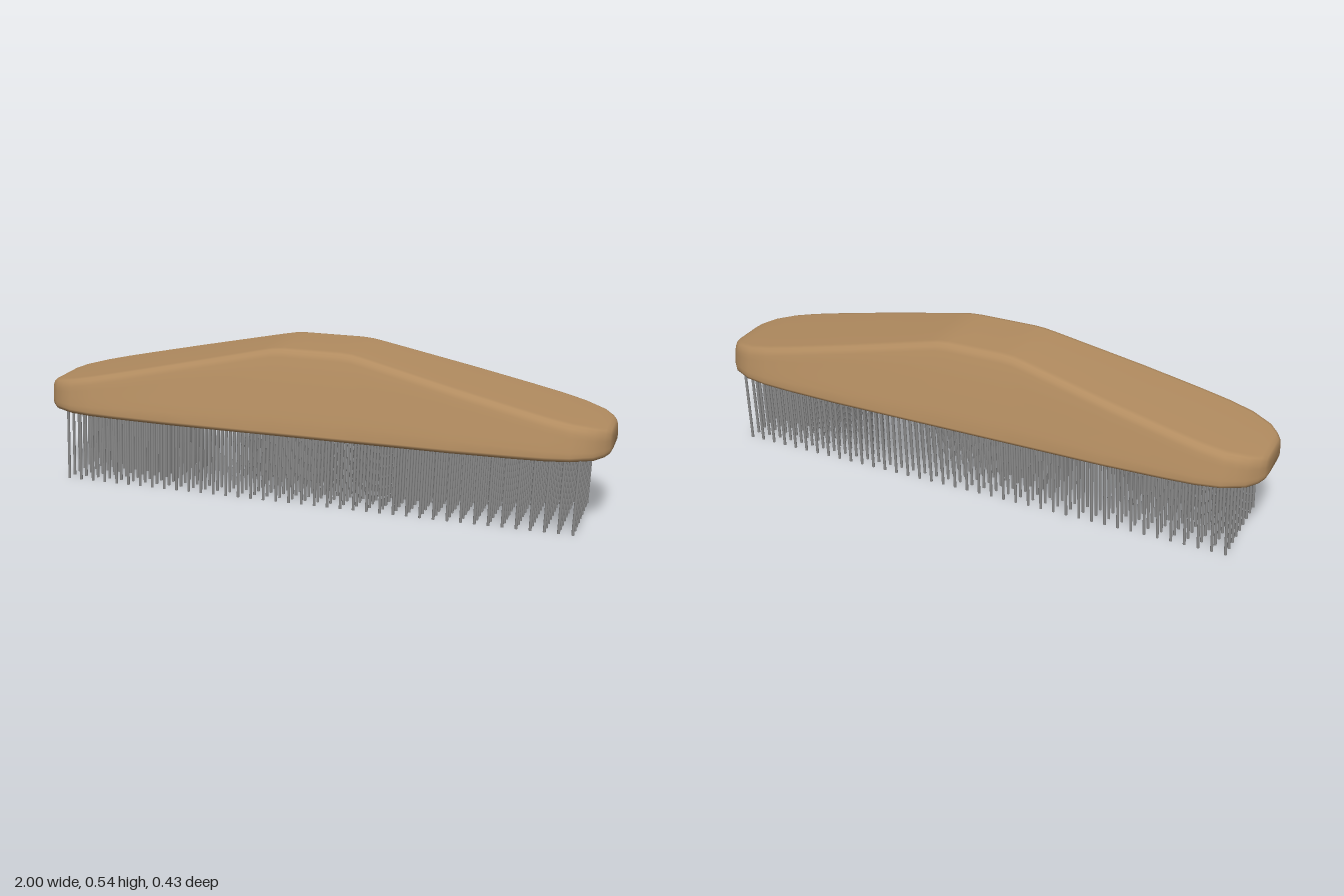
import * as THREE from 'three';
import { mergeGeometries } from 'three/addons/utils/BufferGeometryUtils.js';

const BASE = 0.25, PEAK = 0.537;

// piecewise-linear lookup through [key, value] pairs
function lerpTable(table, k) {
  if (k <= table[0][0]) return table[0][1];
  for (let i = 1; i < table.length; i++) {
    const [k0, v0] = table[i - 1], [k1, v1] = table[i];
    if (k <= k1) return v0 + (v1 - v0) * (k - k0) / (k1 - k0);
  }
  return table[table.length - 1][1];
}

// |x| -> half width, top height and underside height
const WIDTH = [[0, 0.217], [0.5, 0.217], [0.7, 0.21], [0.8, 0.203], [0.88, 0.187], [0.95, 0.15], [0.98, 0.115], [0.994, 0.09], [1, 0.07]];
const TOP = [[0, PEAK], [0.1, PEAK], [0.14, 0.534], [0.18, 0.526], [0.95, 0.355], [0.98, 0.346], [0.994, 0.338], [1, 0.325]];
const BOTTOM = [[0, BASE], [0.95, BASE], [0.98, 0.254], [0.994, 0.261], [1, 0.272]];
// height -> width factor of the tapering sides
const TAPER = [[0.27, 1], [0.3, 0.965], [0.36, 0.885], [0.44, 0.78], [0.5, 0.69], [0.54, 0.625]];

// closed cross-section: underside centre, +z side, top, -z side
function section(x) {
  const a = Math.abs(x);
  const w = lerpTable(WIDTH, a), top = lerpTable(TOP, a), bot = lerpTable(BOTTOM, a);
  const r = Math.min(0.026, (top - bot) * 0.3), e = Math.min(0.018, (top - bot) * 0.2);
  const half = [[w - 0.03, bot], [w - 0.012, bot + e * 0.15], [w - 0.003, bot + e * 0.5], [w, bot + e]];
  const y0 = bot + e, y1 = top - r;
  for (let i = 1; i <= 5; i++) {
    const y = y0 + (y1 - y0) * i / 5;
    half.push([w * lerpTable(TAPER, y), y]);
  }
  const zt = w * lerpTable(TAPER, y1);
  half.push([zt - r * 0.25, top - r * 0.45], [zt - r * 0.65, top - r * 0.13], [zt - r * 1.3, top]);
  return [[0, bot], ...half, [0, top], ...half.slice().reverse().map(([z, y]) => [-z, y])];
}

// wooden back lofted along x
function backGeometry() {
  const right = [0.05, 0.1, 0.14, 0.18, 0.25, 0.35, 0.5, 0.6, 0.7, 0.8, 0.88, 0.92, 0.95, 0.98, 0.994, 1];
  const stations = [...right.map(x => -x).reverse(), 0, ...right];
  const pos = [], index = [];
  let n = 0;
  for (const x of stations) {
    const ring = section(x);
    n = ring.length;
    for (const [z, y] of ring) pos.push(x, y, z);
  }
  for (let i = 0; i < stations.length - 1; i++) {
    for (let j = 0; j < n; j++) {
      const k = (j + 1) % n;
      const a = i * n + j, b = i * n + k, c = a + n, d = b + n;
      index.push(a, c, b, b, c, d);
    }
  }
  // end caps
  const last = (stations.length - 1) * n, centre = stations.length * n;
  pos.push(-1, 0.299, 0, 1, 0.299, 0);
  for (let j = 0; j < n; j++) {
    const k = (j + 1) % n;
    index.push(centre, j, k, centre + 1, last + k, last + j);
  }
  const g = new THREE.BufferGeometry();
  g.setAttribute('position', new THREE.Float32BufferAttribute(pos, 3));
  g.setIndex(index);
  g.computeVertexNormals();
  return g;
}

// grid of thin wires, each leaning slightly along x
function bristleGeometry() {
  const columns = 40, rows = 9, length = 0.26, lean = 0.009;
  const wire = new THREE.CylinderGeometry(0.005, 0.005, length, 8);
  wire.translate(0, length / 2, 0);
  wire.applyMatrix4(new THREE.Matrix4().makeShear(0, 0, lean / length, 0, 0, 0));
  // keep the lean along x only
  const p = wire.attributes.position;
  const straight = new THREE.CylinderGeometry(0.005, 0.005, length, 8).translate(0, length / 2, 0);
  const q = straight.attributes.position;
  for (let i = 0; i < p.count; i++) q.setX(i, q.getX(i) + lean * (q.getY(i) / length - 0.5));
  const parts = [];
  for (let c = 0; c < columns; c++) {
    for (let r = 0; r < rows; r++) {
      parts.push(straight.clone().translate(-0.905 + 1.81 * c / (columns - 1), 0, (r - 4) * 0.0395));
    }
  }
  return mergeGeometries(parts);
}

export function createModel() {
  const wood = new THREE.MeshStandardMaterial({ color: 0xb28c60 });
  wood.name = 'wood';
  const steel = new THREE.MeshStandardMaterial({ color: 0x8c8c8c });
  steel.name = 'steel';

  const group = new THREE.Group();
  group.name = 'wireBrush';
  const back = new THREE.Mesh(backGeometry(), wood);
  back.name = 'woodenBack';
  const bristles = new THREE.Mesh(bristleGeometry(), steel);
  bristles.name = 'bristles';
  group.add(back, bristles);
  return group;
}
